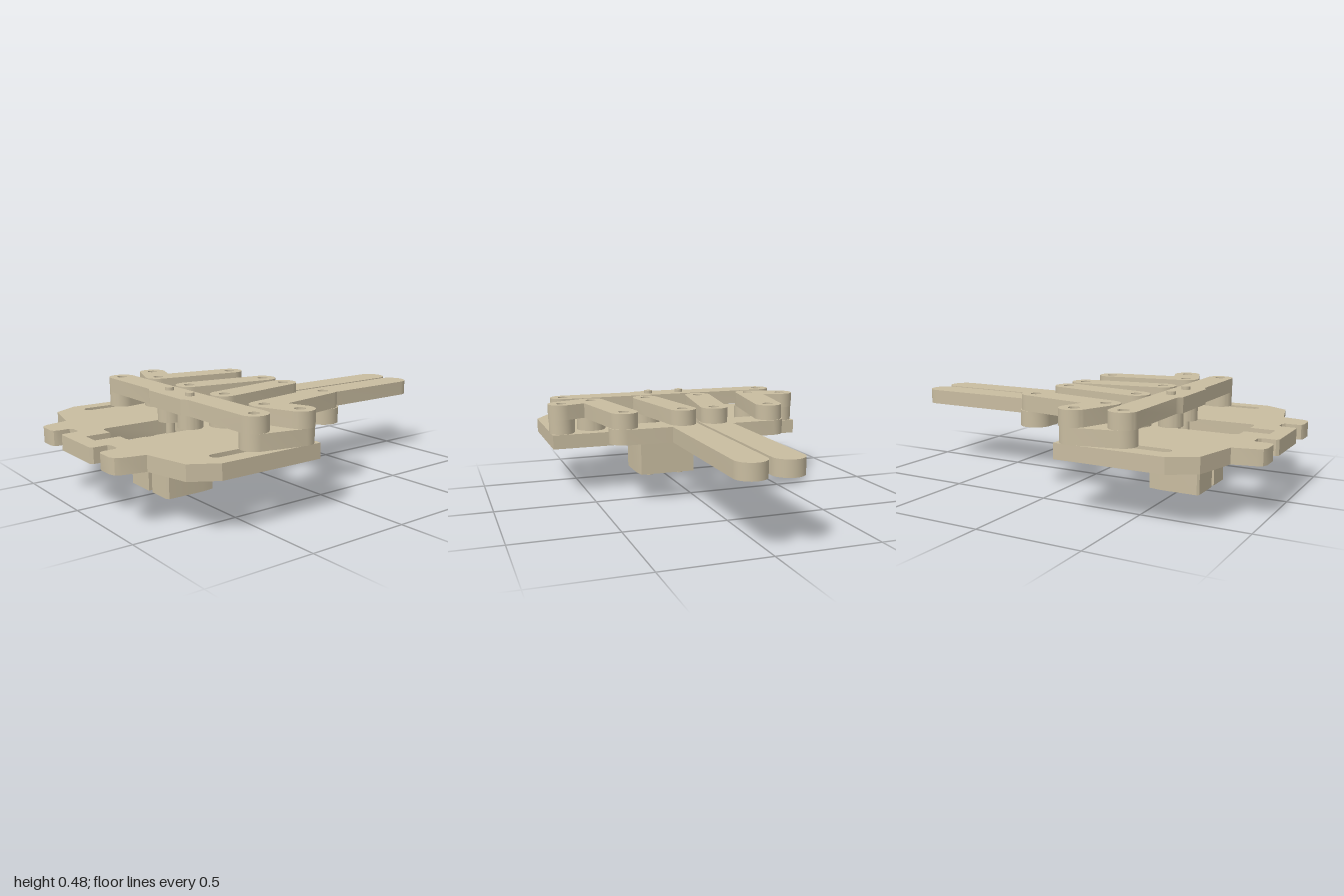
import * as THREE from 'three';
import { toCreasedNormals } from 'three/addons/utils/BufferGeometryUtils.js';

const material = new THREE.MeshStandardMaterial({ color: 0xc8bca0 });
material.name = 'sand plastic';

// Layer heights
const BASE = [0.245, 0.317], MID = [0.317, 0.392], TOP = [0.392, 0.467];
const HOLE = 0.026;

const vec = (p) => new THREE.Vector2(p[0], p[1]);
const poly = (pts) => pts.map(vec);

// Outline of a bar of half-width r that follows a bent line of [x, z] points
function barOutline(line, r) {
  const loop = [...line, ...line.slice(1, -1).reverse()].map(vec);
  const out = [], n = loop.length;
  loop.forEach((p, i) => {
    const a = p.clone().sub(loop[(i + n - 1) % n]).normalize();
    const b = loop[(i + 1) % n].clone().sub(p).normalize();
    const turn = a.cross(b), dot = a.dot(b);
    const na = new THREE.Vector2(a.y, -a.x), nb = new THREE.Vector2(b.y, -b.x);
    if (turn < -1e-6) {
      out.push(p.clone().addScaledVector(na.add(nb), r / (1 + dot)));
    } else {
      const sweep = dot < -0.9999 ? Math.PI : Math.atan2(turn, dot);
      const steps = Math.max(1, Math.ceil(sweep / 0.16)), start = na.angle();
      for (let k = 0; k <= steps; k++) {
        const t = start + (sweep * k) / steps;
        out.push(new THREE.Vector2(p.x + r * Math.cos(t), p.y + r * Math.sin(t)));
      }
    }
  });
  return out;
}

const circle = ([x, z], r = HOLE) => new THREE.Path().absarc(x, z, r, 0, Math.PI * 2).getPoints(24).slice(0, -1);

// Flat plate from an outline in x and z, with holes, between two heights
function plate(name, outline, holes, [y0, y1]) {
  const shape = new THREE.Shape(outline);
  shape.holes = holes.map((h) => new THREE.Path(h));
  const geo = new THREE.ExtrudeGeometry(shape, { depth: y1 - y0, bevelEnabled: false });
  geo.rotateX(Math.PI / 2).translate(0, y1, 0);
  const mesh = new THREE.Mesh(toCreasedNormals(geo, 0.45), material);
  mesh.name = name;
  return mesh;
}

const bar = (name, line, r, holes, layer) => plate(name, barOutline(line, r), holes.map((h) => circle(h)), layer);

// Mirrors a half outline (x > 0) into a full closed one
const mirrored = (half) => poly([...half, ...half.map(([x, z]) => [-x, z]).reverse()]);

export function createModel() {
  const model = new THREE.Group();
  model.name = 'gripper';

  // Base plate with actuator opening, guide slots and pivot holes
  const baseOutline = mirrored([
    [0.675, 0.17], [0.675, 0.69], [0.6, 0.81], [0.388, 0.86], [0.365, 0.965], [0.352, 0.988], [0.325, 0.998],
    [0.25, 0.998], [0.232, 0.99], [0.225, 0.972], [0.225, 0.915], [0.212, 0.903], [0.163, 0.903],
    [0.15, 0.915], [0.15, 0.98], [0.138, 0.992],
  ]);
  const opening = mirrored([[0.13, 0.42], [0.13, 0.775], [0.122, 0.793], [0.105, 0.8], [0.045, 0.8], [0.045, 0.92]]);
  const baseHoles = [opening];
  for (const s of [-1, 1]) {
    baseHoles.push(barOutline([[0.57 * s, 0.42], [0.57 * s, 0.645]], 0.028));
    baseHoles.push(circle([0.15 * s, 0.3]), circle([0.45 * s, 0.3]));
  }
  model.add(plate('basePlate', baseOutline, baseHoles, BASE));

  // Actuator housing: a slot inside and a narrow slit in its front wall
  const housing = poly([
    [-0.155, 0.38], [0.155, 0.38], [0.165, 0.44], [0.165, 0.625], [0.155, 0.635], [0.03, 0.635], [0.03, 0.57],
    [0.135, 0.57], [0.135, 0.52], [-0.135, 0.52], [-0.135, 0.57], [0, 0.57], [0, 0.635], [-0.155, 0.635],
    [-0.165, 0.625], [-0.165, 0.44],
  ]);
  model.add(plate('actuatorHousing', housing, [], [0.018, 0.245]));

  // Crossbar with a slightly widened middle
  const ends = barOutline([[-0.57, 0.452], [0.57, 0.452]], 0.066);
  const front = poly([[0.18, 0.518], [0.165, 0.522], [0.14, 0.538], [-0.14, 0.538], [-0.165, 0.522], [-0.18, 0.518]]);
  const right = ends.filter((p) => p.x > 0).sort((a, b) => a.y - b.y);
  const left = ends.filter((p) => p.x < 0).sort((a, b) => b.y - a.y);
  model.add(plate('crossbar', [...right, ...front, ...left],
    [circle([-0.57, 0.452]), circle([0.57, 0.452])], TOP));

  for (const s of [-1, 1]) {
    const side = new THREE.Group();
    side.name = s > 0 ? 'leftSide' : 'rightSide';
    const m = (...pts) => pts.map(([x, z]) => [x * s, z]);
    const inner = [0.083, -0.112], outer = [0.38, -0.112];
    const pivotIn = [0.15, 0.302], pivotOut = [0.45, 0.302];
    const elbow = [0.617, 0.24], slider = [0.572, 0.452];

    // L-shaped finger
    side.add(bar('finger', m(outer, inner, [0.083, -0.926]), 0.074, m(inner, outer), MID));

    // Links above the finger
    side.add(bar('innerLink', m(inner, pivotIn), 0.068, m(inner, pivotIn), TOP));
    side.add(bar('bentLink', m(outer, pivotOut, elbow), 0.068, m(outer, pivotOut, elbow), TOP));

    // Drive link below the crossbar
    side.add(bar('driveLink', m(elbow, slider), 0.065, m(elbow, slider), MID));

    // Pivot spacers
    for (const p of m(pivotIn, pivotOut)) {
      side.add(plate('pivotSpacer', circle(p, 0.074), [circle(p)], MID));
    }

    // Actuator rod with its collar
    const rodAt = [0.089 * s, 0.454];
    side.add(plate('rodCollar', circle(rodAt, 0.06), [], MID));
    side.add(plate('actuatorRod', circle(rodAt, 0.022), [], [0, 0.483]));
    model.add(side);
  }
  return model;
}
